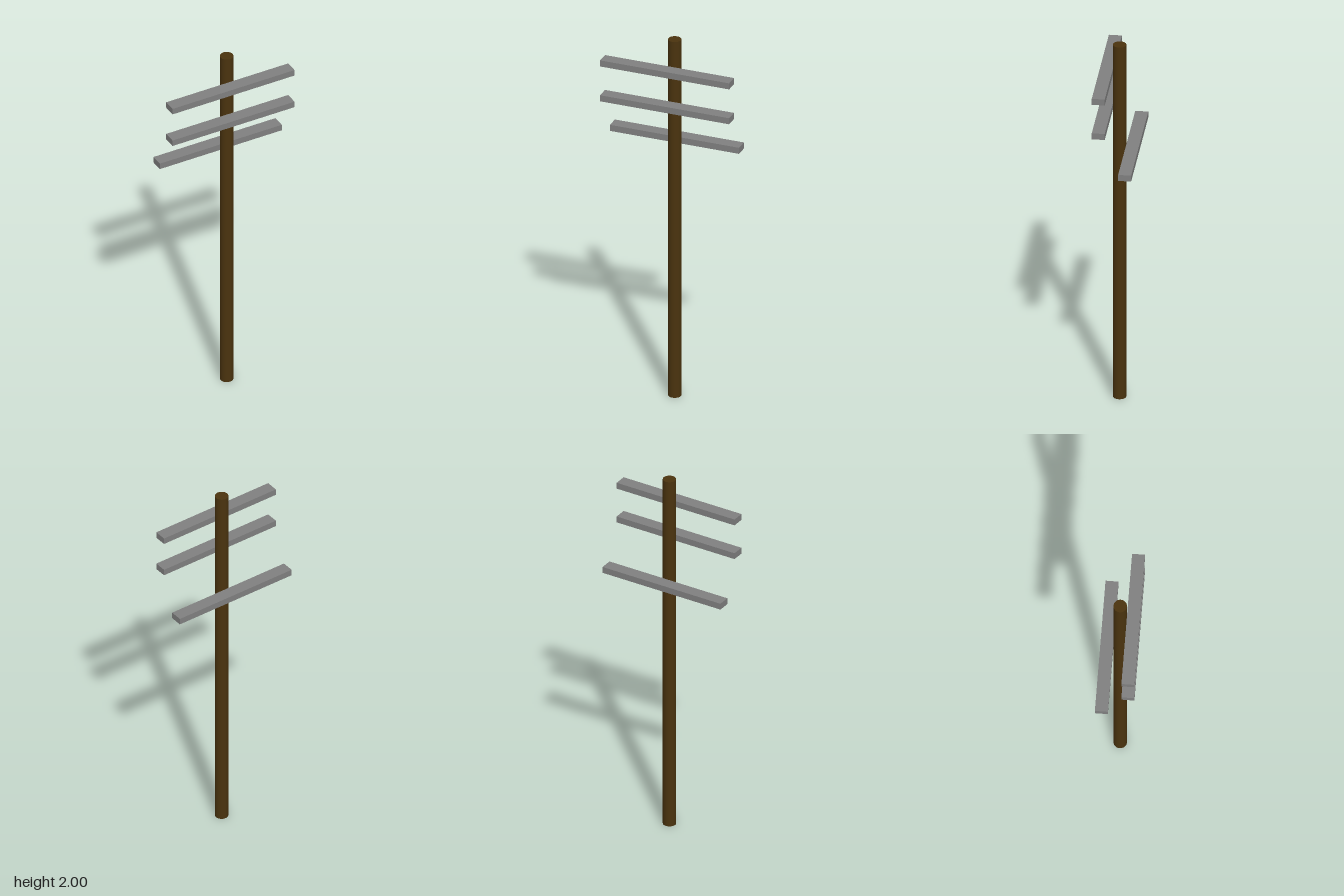
import * as THREE from 'three';

export function createModel() {
  const group = new THREE.Group();
  const wood = new THREE.MeshStandardMaterial({ color: 0x4a330e });
  wood.name = 'brown wood';
  const metal = new THREE.MeshStandardMaterial({ color: 0x808080 });
  metal.name = 'grey metal';

  // Round upright, slightly off centre
  const radius = 0.034, poleX = 0.015;
  const pole = new THREE.Mesh(new THREE.CylinderGeometry(radius, radius, 2, 32), wood);
  pole.name = 'pole';
  pole.position.set(poleX, 1, 0);
  group.add(pole);

  // Crossarms: two on the front of the pole, one on the back
  const depth = 0.066;
  const armGeometry = new THREE.BoxGeometry(0.7, 0.034, depth);
  const arms = [
    ['upperCrossarm', 1.842, 1],
    ['middleCrossarm', 1.646, 1],
    ['lowerCrossarm', 1.418, -1],
  ];
  for (const [name, y, side] of arms) {
    const arm = new THREE.Mesh(armGeometry, metal);
    arm.name = name;
    arm.position.set(0, y, side * (radius + depth / 2));
    group.add(arm);
  }
  return group;
}
